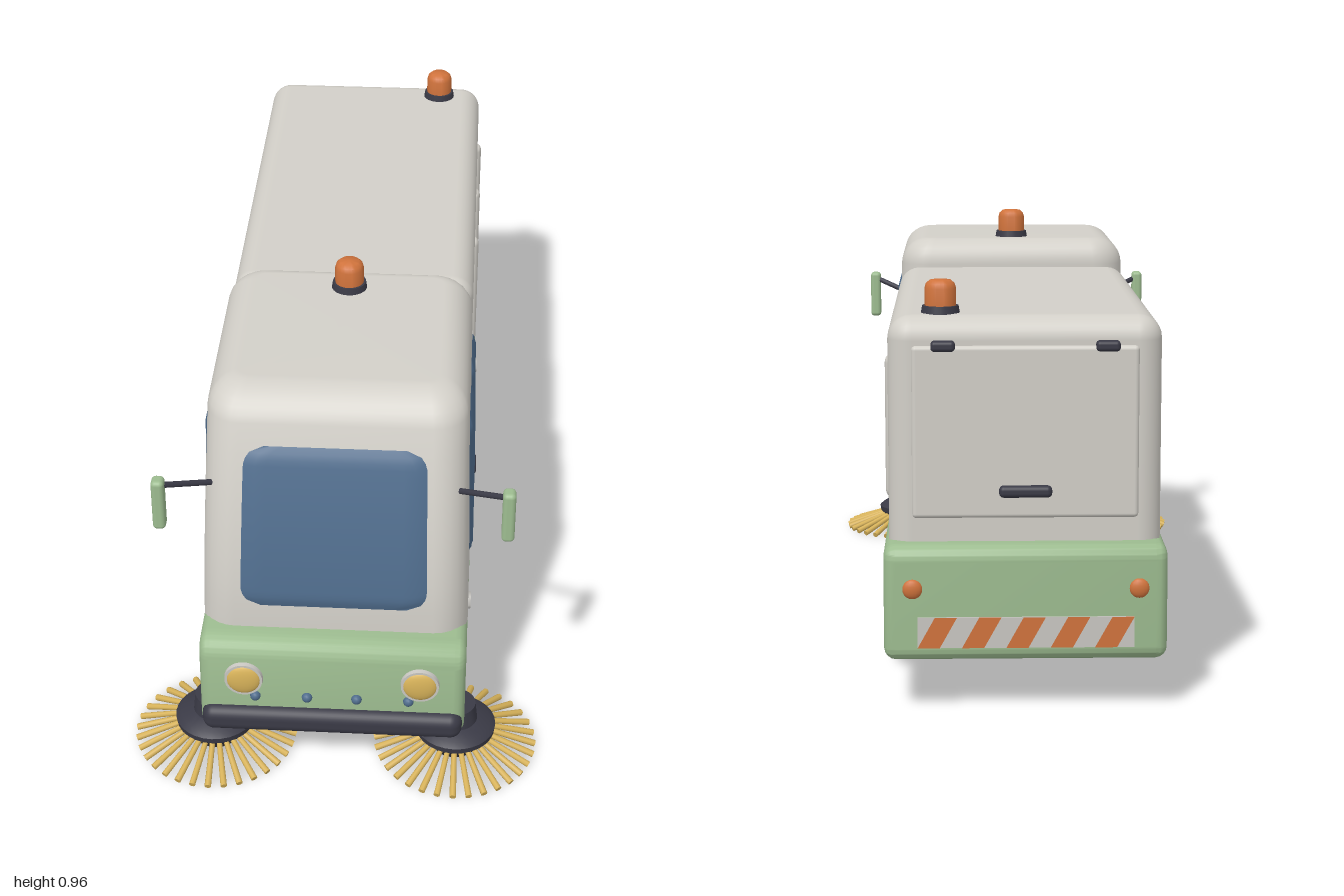
import * as THREE from 'three';
import { mergeGeometries, toCreasedNormals } from 'three/addons/utils/BufferGeometryUtils.js';
import { RoundedBoxGeometry } from 'three/addons/geometries/RoundedBoxGeometry.js';

const V = (x, y) => new THREE.Vector2(x, y);
function paint(name, color, side = THREE.FrontSide) {
  const m = new THREE.MeshStandardMaterial({ color, side });
  m.name = name;
  return m;
}

// cab surface rules: front z and half width at height y
const cabFront = y => 0.85 - 0.384 * Math.pow(Math.max(y - 0.36, 0), 1.65);
const cabHalf = y => 0.295 - 0.025 * (y - 0.36);

// skin through rounded-rectangle rings { y, w, zf, zb, r }, capped on top
function loft(rings, q = 6) {
  const pos = [], idx = [], n = 4 * (q + 1);
  for (const { y, w, zf, zb, r } of rings)
    for (let c = 0; c < 4; c++)
      for (let k = 0; k <= q; k++) {
        const a = (c + k / q) * Math.PI / 2;
        const cx = (c === 0 || c === 3 ? 1 : -1) * (w - r);
        const cz = c < 2 ? zf - r : zb + r;
        pos.push(cx + r * Math.cos(a), y, cz + r * Math.sin(a));
      }
  for (let j = 0; j < rings.length - 1; j++)
    for (let i = 0; i < n; i++) {
      const a = j * n + i, b = j * n + (i + 1) % n;
      idx.push(a, a + n, b, b, a + n, b + n);
    }
  const last = rings[rings.length - 1], base = (rings.length - 1) * n;
  pos.push(0, last.y, (last.zf + last.zb) / 2);
  for (let i = 0; i < n; i++) idx.push(rings.length * n, base + (i + 1) % n, base + i);
  const g = new THREE.BufferGeometry();
  g.setAttribute('position', new THREE.Float32BufferAttribute(pos, 3));
  g.setIndex(idx);
  g.computeVertexNormals();
  return g;
}

// thin pillowed pane with rounded corners, laid on a surface by place(u, y, offset)
function pane(u0, u1, y0, y1, r, place) {
  const g = new THREE.PlaneGeometry(1, 1, 16, 28), p = g.attributes.position;
  for (let i = 0; i < p.count; i++) {
    const s = p.getX(i) + 0.5, y = y0 + (p.getY(i) + 0.5) * (y1 - y0);
    const edge = Math.min(y - y0, y1 - y), d = Math.max(r - edge, 0);
    const inset = r - Math.sqrt(Math.max(r * r - d * d, 0));
    const u = u0 + inset + s * (u1 - u0 - 2 * inset);
    const near = Math.min(edge, Math.min(s, 1 - s) * (u1 - u0));
    p.setXYZ(i, ...place(u, y, 0.001 + 0.008 * Math.min(1, near / 0.02)));
  }
  g.computeVertexNormals();
  return g;
}

export function createModel() {
  const root = new THREE.Group();
  root.name = 'streetSweeper';
  const green = paint('green paint', 0x9dbc90);
  const grey = paint('pale grey paint', 0xd2cfc8);
  const glass = paint('blue glass', 0x4f6c8c, THREE.DoubleSide);
  const dark = paint('dark trim', 0x3a3a46);
  const rubber = paint('tyre rubber', 0x34363e);
  const black = paint('wheel well black', 0x25252b, THREE.DoubleSide);
  const yellow = paint('straw yellow', 0xd8b35a);
  const orange = paint('signal orange', 0xd0733c);
  const metal = paint('light metal', 0xc9c7c2);

  const add = (name, geo, mat, x = 0, y = 0, z = 0, parent = root) => {
    const m = new THREE.Mesh(geo, mat);
    m.name = name;
    m.position.set(x, y, z);
    parent.add(m);
    return m;
  };
  const box = (w, h, d, r) => new RoundedBoxGeometry(w, h, d, 4, r);
  const rod = (a, b, r0, r1, seg = 8) => {
    const A = new THREE.Vector3(...a), B = new THREE.Vector3(...b), dir = B.clone().sub(A);
    const g = new THREE.CylinderGeometry(r1, r0, dir.length(), seg);
    g.applyQuaternion(new THREE.Quaternion().setFromUnitVectors(new THREE.Vector3(0, 1, 0), dir.normalize()));
    return g.translate(...A.add(B).multiplyScalar(0.5).toArray());
  };
  const axles = [0.475, -0.555], axleY = 0.15;

  // chassis: side profile with wheel arches, extruded across the width
  const R = 0.16, dip = Math.asin((axleY - 0.115) / R), s = new THREE.Shape();
  s.moveTo(-0.96, 0.115);
  for (const z of [...axles].reverse()) s.absarc(z, axleY, R, Math.PI + dip, -dip, true);
  s.lineTo(0.88, 0.115);
  s.quadraticCurveTo(0.92, 0.115, 0.92, 0.155);
  s.lineTo(0.915, 0.31);
  s.quadraticCurveTo(0.91, 0.36, 0.86, 0.36);
  s.lineTo(-0.955, 0.36);
  s.quadraticCurveTo(-0.99, 0.36, -0.99, 0.325);
  s.lineTo(-0.99, 0.145);
  s.quadraticCurveTo(-0.99, 0.115, -0.96, 0.115);
  const hull = new THREE.ExtrudeGeometry(s, {
    depth: 0.54, bevelEnabled: true, bevelSize: 0.025, bevelOffset: -0.025,
    bevelThickness: 0.025, bevelSegments: 4, curveSegments: 20
  }).translate(0, 0, -0.27).rotateY(-Math.PI / 2);
  add('chassis', toCreasedNormals(hull, 0.6), green);
  add('bellyTank', box(0.4, 0.12, 0.295, 0.025), dark, 0, 0.095, -0.002);

  // cab shell
  const rings = [], roofR = 0.065, top = 0.895;
  for (let i = 0; i <= 8; i++) rings.push([0.345 + i * (top - roofR - 0.345) / 8, 0]);
  for (let i = 1; i <= 7; i++) {
    const a = i / 7 * Math.PI / 2;
    rings.push([top - roofR + roofR * Math.sin(a), roofR * (1 - Math.cos(a))]);
  }
  add('cab', loft(rings.map(([y, inset]) => ({
    y, w: cabHalf(y) - inset, zf: cabFront(y) - inset, zb: 0.17 + inset * 0.8, r: 0.075 - inset * 0.75
  }))), grey);
  add('windshield', pane(-0.205, 0.205, 0.42, 0.785, 0.045,
    (x, y, o) => [x * (1 - 0.1 * (y - 0.42)), y, cabFront(y) + o]), glass);

  // hopper and its rear door
  add('hopper', box(0.57, 0.53, 1.09, 0.05), grey, 0, 0.565, -0.395);
  add('rearDoor', box(0.47, 0.36, 0.02, 0.009), grey, 0, 0.59, -0.939);
  add('rearDoorHandle', box(0.11, 0.025, 0.024, 0.01), dark, 0, 0.468, -0.956);

  // beacons
  const dome = [V(0, 0), V(0.033, 0), V(0.033, 0.038), V(0.03, 0.048), V(0.022, 0.055), V(0, 0.057)];
  for (const [x, y, z] of [[0, 0.893, 0.27], [0.175, 0.828, -0.86]]) {
    add('beaconBase', new THREE.CylinderGeometry(0.038, 0.041, 0.018, 24), dark, x, y + 0.008, z);
    add('beacon', toCreasedNormals(new THREE.LatheGeometry(dome, 24), 0.7), orange, x, y + 0.015, z);
  }

  // front bumper and sensors
  add('frontBumper', box(0.58, 0.064, 0.055, 0.026), dark, 0, 0.157, 0.915);
  for (const x of [-0.17, -0.055, 0.055, 0.17])
    add('sensor', new THREE.SphereGeometry(0.012, 12, 8), glass, x, 0.22, 0.919);

  // rear warning stripes
  add('stripePlate', new THREE.BoxGeometry(0.45, 0.065, 0.008), metal, 0, 0.178, -0.99);
  for (let i = 0; i < 5; i++) {
    const x = -0.225 + i * 0.092, e = Math.min(x + 0.082, 0.225);
    const st = new THREE.Shape([V(x, -0.0325), V(x + 0.046, -0.0325), V(e, 0.0325), V(x + 0.036, 0.0325)]);
    add('warningStripe', new THREE.ShapeGeometry(st).rotateY(Math.PI), orange, 0, 0.178, -0.9955);
  }

  // wheel profiles, spun about the axle
  const tyre = new THREE.LatheGeometry([V(0.09, -0.05), V(0.125, -0.05), V(0.139, -0.042), V(0.144, -0.025),
    V(0.144, 0.025), V(0.139, 0.042), V(0.125, 0.05), V(0.102, 0.052), V(0.094, 0.042)], 40);
  const rim = toCreasedNormals(new THREE.LatheGeometry([V(0, -0.046), V(0.092, -0.046), V(0.099, 0.045),
    V(0.095, 0.052), V(0.086, 0.05), V(0.076, 0.03), V(0.045, 0.036), V(0.04, 0.05), V(0, 0.052)], 32), 0.6);

  for (const side of [1, -1]) {
    for (const z of axles) {
      const wheel = new THREE.Group();
      wheel.name = 'wheel';
      wheel.position.set(side * 0.24, axleY, z);
      wheel.rotation.z = -side * Math.PI / 2;
      root.add(wheel);
      add('tyre', tyre, rubber, 0, 0, 0, wheel);
      add('rim', rim, metal, 0, 0, 0, wheel);
      add('hubCap', new THREE.CylinderGeometry(0.02, 0.024, 0.012, 6), metal, 0, 0.057, 0, wheel);
      for (let i = 0; i < 6; i++) {
        const a = i * Math.PI / 3;
        add('wheelNut', new THREE.CylinderGeometry(0.007, 0.007, 0.014, 6), dark,
          0.055 * Math.cos(a), 0.038, 0.055 * Math.sin(a), wheel);
      }
      const lip = add('archLip', new THREE.TorusGeometry(0.175, 0.011, 8, 32, Math.PI), green, side * 0.285, axleY, z);
      lip.rotation.y = Math.PI / 2;
    }

    // side windows and door handle
    for (const [a, b] of [[0.48, 0.657], [0.265, 0.438]])
      add('sideWindow', pane(a, b, 0.43, 0.79, 0.03, (z, y, o) => [side * (cabHalf(y) + o), y, z]), glass);
    add('doorHandle', box(0.016, 0.014, 0.068, 0.006), dark, side * 0.297, 0.42, 0.29);

    // hopper ribs
    for (const z of [-0.26, -0.515, -0.77])
      add('hopperRib', new THREE.CapsuleGeometry(0.017, 0.275, 6, 14).scale(0.7, 1, 1), grey, side * 0.283, 0.575, z);

    // mirror on its arm
    add('mirrorArm', rod([side * 0.27, 0.69, 0.765], [side * 0.368, 0.727, 0.832], 0.007, 0.007), dark);
    add('mirror', box(0.028, 0.125, 0.035, 0.01), green, side * 0.374, 0.683, 0.835);

    // lamps
    const ring = add('headlightRing', new THREE.CylinderGeometry(0.042, 0.044, 0.016, 32), metal, side * 0.195, 0.268, 0.917);
    ring.rotation.x = Math.PI / 2;
    add('headlight', new THREE.SphereGeometry(0.038, 24, 12).scale(1, 1, 0.3), yellow, side * 0.195, 0.268, 0.922);
    add('tailLight', new THREE.SphereGeometry(0.021, 16, 10).scale(1, 1, 0.5), orange, side * 0.235, 0.27, -0.989);
    add('rearDoorHinge', box(0.05, 0.022, 0.03, 0.008), dark, side * 0.17, 0.77, -0.945);

    // rotating side brush
    const brush = new THREE.Group();
    brush.name = 'sideBrush';
    brush.position.set(side * 0.275, 0, 0.815);
    root.add(brush);
    const hub = [V(0, 0.006), V(0.05, 0.006), V(0.075, 0.04), V(0.09, 0.056), V(0.092, 0.07), V(0.08, 0.08),
      V(0.05, 0.088), V(0.045, 0.13), V(0, 0.13)];
    add('brushHub', toCreasedNormals(new THREE.LatheGeometry(hub, 28), 0.6), dark, 0, 0, 0, brush);
    const bristles = [];
    for (let i = 0; i < 32; i++) {
      const a = i / 32 * Math.PI * 2, c = Math.cos(a), d = Math.sin(a);
      bristles.push(rod([0.06 * c, 0.056, 0.06 * d], [0.184 * c, 0.013, 0.184 * d], 0.006, 0.0075));
    }
    add('bristles', mergeGeometries(bristles), yellow, 0, 0, 0, brush);
  }

  // wheel wells
  for (const z of axles) {
    add('wheelWell', new THREE.BoxGeometry(0.37, 0.19, 0.308), black, 0, 0.212, z);
    const lining = add('archLining', new THREE.CylinderGeometry(0.159, 0.159, 0.55, 32, 1, true, -0.2, Math.PI + 0.4), black, 0, axleY, z);
    lining.rotation.z = Math.PI / 2;
  }
  return root;
}
